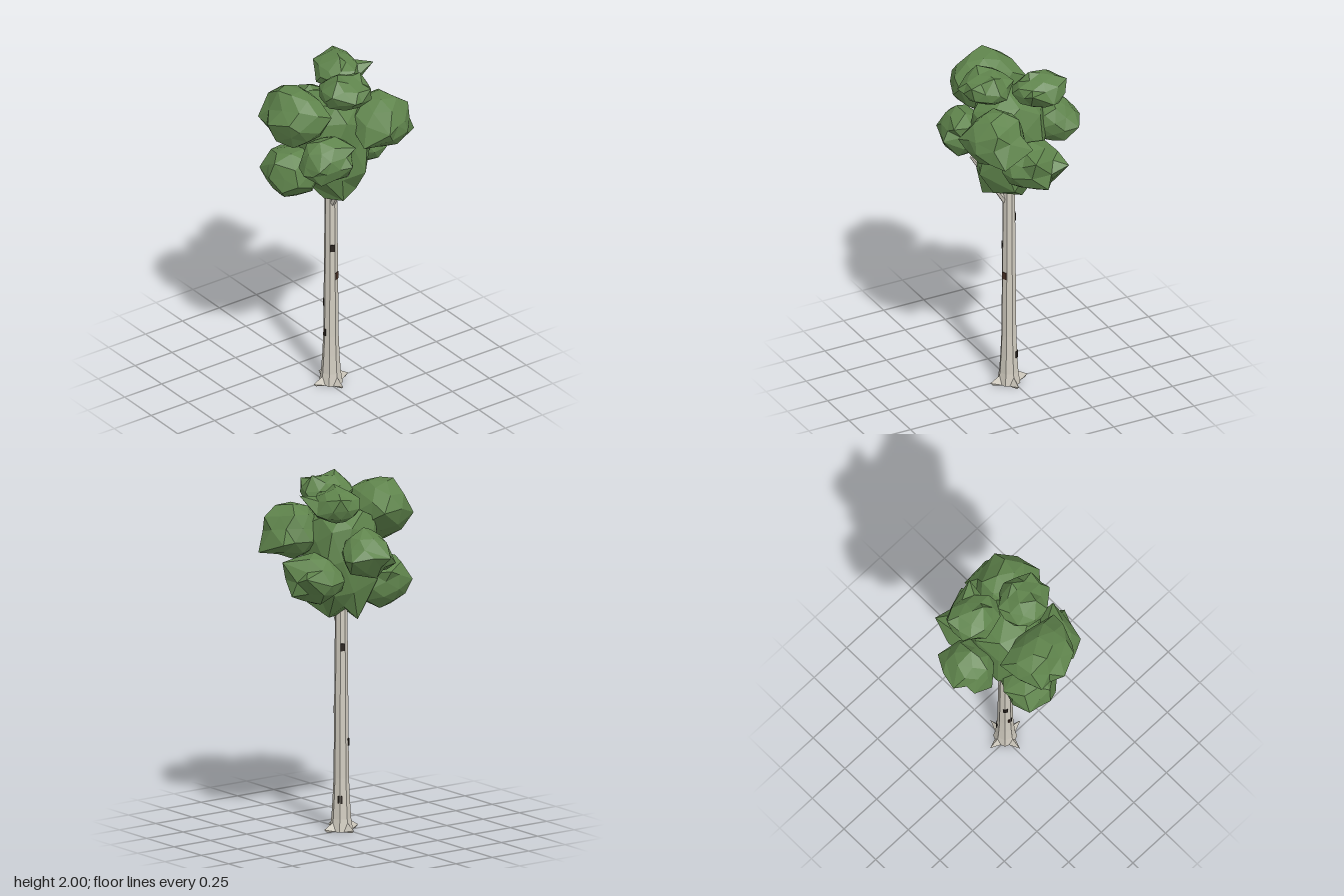
import * as THREE from 'three';
import { mergeVertices } from 'three/addons/utils/BufferGeometryUtils.js';
import { ConvexGeometry } from 'three/addons/geometries/ConvexGeometry.js';

const flat = (name, color) => {
  const m = new THREE.MeshStandardMaterial({ color, flatShading: true });
  m.name = name;
  return m;
};

function seeded(seed) {
  let s = seed * 7919 + 17;
  return () => (s = (s * 16807) % 2147483647) / 2147483647;
}

// Lumpy low-poly leaf clump, fitted to a box [x0, x1, y0, y1, z0, z1].
// A power below 1 swells it towards the corners of the box.
// Each peak pulls the nearest corner of the clump out to itself.
function clumpGeometry({ box, peaks, power = 1 }, seed) {
  const [x0, x1, y0, y1, z0, z1] = box;
  const rand = seeded(seed);
  for (let i = 0; i < 5; i++) rand();
  let geo = new THREE.IcosahedronGeometry(1, 1);
  geo.deleteAttribute('normal');
  geo.deleteAttribute('uv');
  geo = mergeVertices(geo, 1e-3);
  geo.rotateX(rand() * 6).rotateY(rand() * 6);
  const pos = geo.attributes.position;
  const v = new THREE.Vector3();
  for (let i = 0; i < pos.count; i++) {
    v.fromBufferAttribute(pos, i).multiplyScalar(0.9 + 0.2 * rand());
    pos.setXYZ(i, v.x, v.y, v.z);
  }
  geo.computeBoundingBox();
  const { min, max } = geo.boundingBox;
  const fit = (c, lo, hi, a, b) => {
    const t = (2 * (c - lo)) / (hi - lo) - 1;
    return (a + b) / 2 + (Math.sign(t) * Math.abs(t) ** power * 0.96 * (b - a)) / 2;
  };
  for (let i = 0; i < pos.count; i++) {
    v.fromBufferAttribute(pos, i);
    pos.setXYZ(i, fit(v.x, min.x, max.x, x0, x1), fit(v.y, min.y, max.y, y0, y1), fit(v.z, min.z, max.z, z0, z1));
  }
  const moved = new Set();
  for (const p of peaks) {
    const target = new THREE.Vector3(...p);
    let best = 0;
    let bestDistance = Infinity;
    for (let i = 0; i < pos.count; i++) {
      const d = v.fromBufferAttribute(pos, i).distanceTo(target);
      if (d < bestDistance && !moved.has(i)) [best, bestDistance] = [i, d];
    }
    moved.add(best);
    pos.setXYZ(best, ...p);
  }
  geo.computeVertexNormals();
  return geo;
}

const CLUMPS = {
  crownCore: {
    box: [-0.17, 0.23, 1.21, 1.86, -0.22, 0.17], power: 0.72,
    peaks: [[-0.1, 1.21, 0], [0.17, 1.22, 0], [0.24, 1.4, -0.1], [-0.01, 1.22, -0.13], [0.07, 1.21, 0.06], [0.08, 1.3, -0.21]],
  },
  frontTopClump: {
    box: [-0.17, 0.25, 1.6, 1.95, 0.07, 0.4],
    peaks: [[0.04, 1.78, 0.42], [-0.1, 1.76, 0.385], [0.2, 1.77, 0.32], [-0.175, 1.8, 0.13], [0, 1.945, 0.32], [0.24, 1.82, 0.13]],
  },
  leftTopClump: {
    box: [0, 0.31, 1.8, 1.99, -0.18, 0.12],
    peaks: [[0.18, 2, 0.05], [0.16, 1.99, -0.12], [0.315, 1.9, 0.02], [0.29, 1.95, -0.1]],
  },
  rightTopClump: {
    box: [-0.25, 0.06, 1.77, 1.98, -0.3, -0.02],
    peaks: [[-0.24, 1.94, -0.22], [0.02, 1.93, -0.31], [-0.05, 1.985, -0.13], [-0.12, 1.84, -0.295]],
  },
  rightClump: {
    box: [-0.37, -0.11, 1.47, 1.76, -0.2, 0.1],
    peaks: [[-0.405, 1.61, 0], [-0.385, 1.62, -0.1], [-0.325, 1.6, -0.205], [-0.33, 1.56, 0.09], [-0.22, 1.5, 0.115], [-0.22, 1.76, -0.05]],
  },
  backLeftClump: {
    box: [0.02, 0.38, 1.52, 1.85, -0.38, -0.04],
    peaks: [[0.4, 1.69, -0.15], [0.25, 1.58, -0.42], [0.36, 1.72, -0.28], [0.31, 1.6, -0.04], [0.06, 1.65, -0.39]],
  },
  backLowerClump: {
    box: [-0.19, 0.17, 1.31, 1.61, -0.39, -0.07],
    peaks: [[-0.16, 1.5, -0.395], [0.05, 1.56, -0.405], [-0.2, 1.45, -0.25], [-0.03, 1.38, -0.4]],
  },
  frontLeftClump: {
    box: [0.07, 0.35, 1.42, 1.69, -0.02, 0.3],
    peaks: [[0.37, 1.55, 0.08], [0.315, 1.55, 0.265], [0.22, 1.5, 0.305], [0.33, 1.64, 0.03]],
  },
  frontLowerClump: {
    box: [-0.18, 0.13, 1.24, 1.54, 0.05, 0.36],
    peaks: [[-0.185, 1.47, 0.17], [-0.15, 1.4, 0.34], [-0.02, 1.4, 0.37], [0, 1.49, 0.345], [-0.04, 1.25, 0.27]],
  },
};

export function createModel() {
  const tree = new THREE.Group();
  tree.name = 'tree';
  const bark = flat('pale bark', 0xd0cbbf);
  const black = flat('dark bark mark', 0x2b2520);
  const brown = flat('brown bark mark', 0x4a3226);
  const leaf = flat('leaf green', 0x5f844c);

  const add = (name, geo, mat, parent = tree) => {
    const mesh = new THREE.Mesh(geo, mat);
    mesh.name = name;
    parent.add(mesh);
    return mesh;
  };

  // Trunk: eight-sided with a corner to the front, flared at the foot
  const base = new THREE.Group();
  base.name = 'trunkGroup';
  base.position.set(0.017, 0, -0.025);
  tree.add(base);
  const profile = [[0, 0], [0.066, 0], [0.055, 0.07], [0.048, 0.18], [0.043, 0.3], [0.035, 1.2], [0.03, 1.5]]
    .map(([r, y]) => new THREE.Vector2(r, y));
  add('trunk', new THREE.LatheGeometry(profile, 8), bark, base);

  // Four pointed root flares
  const root = new ConvexGeometry([
    [0.116, 0.016, 0], [0.1, 0, 0],
    [0.05, 0, 0.026], [0.05, 0, -0.026], [0.05, 0.055, 0],
  ].map((p) => new THREE.Vector3(...p)));
  for (let i = 0; i < 4; i++) add('root', root, bark, base).rotation.y = (i * Math.PI) / 2;

  // Side branch reaching through the crown
  const from = new THREE.Vector3(0.03, 1.13, -0.022);
  const to = new THREE.Vector3(0.235, 1.46, 0.004);
  const dir = to.clone().sub(from);
  const branch = add('branch', new THREE.CylinderGeometry(0.011, 0.018, dir.length(), 6), bark);
  branch.position.copy(from).add(to).multiplyScalar(0.5);
  branch.quaternion.setFromUnitVectors(new THREE.Vector3(0, 1, 0), dir.normalize());

  // Bark marks: [face angle from front in degrees, height, sideways shift, width, material]
  const marks = [
    [-22.5, 0.5, -0.009, 0.018, black],
    [-67.5, 0.5, 0.011, 0.01, black],
    [-22.5, 0.325, 0.007, 0.01, brown],
    [22.5, 0.325, -0.012, 0.01, black],
    [67.5, 0.86, 0, 0.028, black],
    [112.5, 0.68, 0, 0.028, brown],
    [-112.5, 1.04, 0, 0.026, black],
    [-112.5, 0.18, -0.011, 0.01, black],
    [-157.5, 0.18, 0.009, 0.01, black],
  ];
  for (const [deg, y, shift, width, mat] of marks) {
    const r = 0.924 * (y < 0.3 ? 0.048 : 0.043 - 0.009 * (y - 0.3));
    const geo = new THREE.BoxGeometry(width, 0.042, 0.008);
    geo.translate(shift, y, r);
    add('barkMark', geo, mat, base).rotation.y = (deg * Math.PI) / 180;
  }

  // Crown: a tall core ringed by leaf clumps
  const crown = new THREE.Group();
  crown.name = 'crown';
  tree.add(crown);
  Object.entries(CLUMPS).forEach(([name, clump], i) => add(name, clumpGeometry(clump, i + 3), leaf, crown));

  return tree;
}
